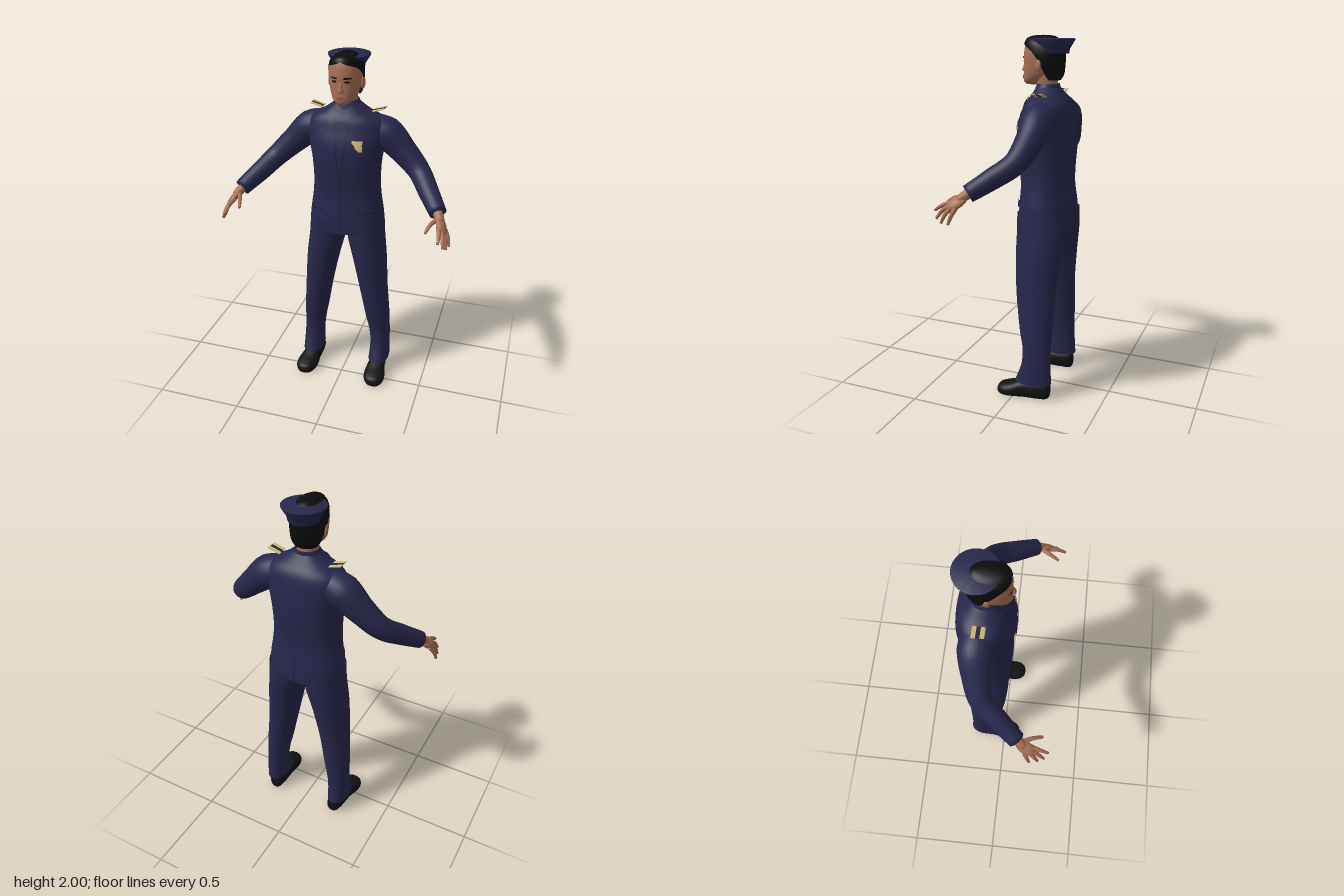
import * as THREE from 'three';
import { mergeVertices, toCreasedNormals } from 'three/addons/utils/BufferGeometryUtils.js';

const material = (name, color, side = THREE.FrontSide) =>
  Object.assign(new THREE.MeshStandardMaterial({ color, side }), { name });
const navy = material('navy cloth', 0x27274c, THREE.DoubleSide);
const seamNavy = material('dark seam', 0x17172e, THREE.DoubleSide);
const skin = material('skin', 0xa87054);
const lip = material('lips', 0x8a5444, THREE.DoubleSide);
const black = material('black hair', 0x0d0c0c, THREE.DoubleSide);
const leather = material('shoe leather', 0x121212);
const gold = material('gold', 0xd2bd78, THREE.DoubleSide);

// Catmull-Rom refinement of rows of numbers
function smooth(rows, sub = 5) {
  const out = [], at = i => rows[Math.min(Math.max(i, 0), rows.length - 1)];
  for (let i = 0; i < rows.length - 1; i++) {
    for (let k = 0; k < sub; k++) {
      const t = k / sub;
      out.push(rows[i].map((b, c) => {
        const a = at(i - 1)[c], d = at(i + 1)[c], e = at(i + 2)[c];
        return b + 0.5 * t * (d - a + t * (2 * a - 5 * b + 4 * d - e + t * (3 * (b - d) + e - a)));
      }));
    }
  }
  out.push(rows[rows.length - 1]);
  return out;
}

// Surface over a grid of points; point(i, j) returns [x, y, z]
function grid(rows, cols, point, flip = false) {
  const pos = [], idx = [];
  for (let i = 0; i <= rows; i++) for (let j = 0; j <= cols; j++) pos.push(...point(i, j));
  for (let i = 0; i < rows; i++) {
    for (let j = 0; j < cols; j++) {
      const a = i * (cols + 1) + j, b = a + 1, c = a + cols + 1, d = c + 1;
      idx.push(...(flip ? [a, c, b, b, c, d] : [a, b, c, b, d, c]));
    }
  }
  let g = new THREE.BufferGeometry();
  g.setAttribute('position', new THREE.Float32BufferAttribute(pos, 3));
  g.setIndex(idx);
  g = mergeVertices(g, 1e-5);
  g.computeVertexNormals();
  return g;
}

// Stacked super-ellipses; rows are [y, cx, cz, rx, rz, arc], arc is measured from the back
const pow = (v, p) => Math.sign(v) * Math.abs(v) ** (2 / p);
function loft(rows, p = 2, n = 36) {
  const s = smooth(rows);
  return grid(s.length - 1, n, (i, j) => {
    const [y, cx, cz, rx, rz, arc = 1] = s[i];
    const a = (j % n || arc < 0.999 ? j / n * 2 - 1 : -1) * Math.PI * Math.min(arc, 1);
    return [cx + rx * pow(Math.sin(a), p), y, cz - rz * pow(Math.cos(a), p)];
  }, true);
}

// Round limb along [x, y, z, radius] points, closed at the far end
function limb(pts, n = 20, steps = 24) {
  const curve = new THREE.CatmullRomCurve3(pts.map(p => new THREE.Vector3(...p)));
  const { normals, binormals } = curve.computeFrenetFrames(steps);
  return grid(steps + 1, n, (i, j) => {
    const k = Math.min(i, steps), f = curve.getUtoTmapping(k / steps) * (pts.length - 1);
    const m = Math.min(Math.floor(f), pts.length - 2), a = j / n * Math.PI * 2;
    const r = i > steps ? 0 : THREE.MathUtils.lerp(pts[m][3], pts[m + 1][3], f - m);
    return curve.getPointAt(k / steps).addScaledVector(normals[k], r * Math.cos(a))
      .addScaledVector(binormals[k], r * Math.sin(a)).toArray();
  });
}

// Thin plate lying on a loft; outline rows are [y, x0, x1] upwards, side 1 front, -1 back
function plate(body, p, outline, lift, side = 1) {
  const s = smooth(body), rows = [];
  outline.slice(1).forEach((b, i) => {
    for (let k = 0; k < 6; k++) rows.push(b.map((v, c) => THREE.MathUtils.lerp(outline[i][c], v, k / 6)));
  });
  rows.push(outline[outline.length - 1]);
  return grid(rows.length - 1, 6, (i, j) => {
    const [y, x0, x1] = rows[i], x = THREE.MathUtils.lerp(x0, x1, side > 0 ? j / 6 : 1 - j / 6);
    const m = Math.max(1, s.findIndex(r => r[0] >= y)), f = (y - s[m - 1][0]) / (s[m][0] - s[m - 1][0]);
    const [, , cz, rx, rz] = s[m].map((v, c) => THREE.MathUtils.lerp(s[m - 1][c], v, f));
    const d = Math.max(0, 1 - Math.abs(x / rx) ** p) ** (1 / p);
    return [x, y, cz + side * (rz * d + lift)];
  });
}

function mirrored(geometry) {
  const g = geometry.clone().scale(-1, 1, 1), idx = g.index.array;
  for (let i = 0; i < idx.length; i += 3) [idx[i], idx[i + 1]] = [idx[i + 1], idx[i]];
  g.computeVertexNormals();
  return g;
}

export function createModel() {
  const root = new THREE.Group();
  root.name = 'uniformedMan';
  const add = (name, geo, mat) => {
    const mesh = new THREE.Mesh(geo, mat);
    mesh.name = name;
    root.add(mesh);
    return mesh;
  };
  const pair = (name, geo, mat) => {
    add(name + 'Left', geo, mat);
    add(name + 'Right', mirrored(geo), mat);
  };

  // Jacket
  const jacket = [
    [1.01, 0, -0.12, 0.217, 0.15], [1.1, 0, -0.118, 0.21, 0.147], [1.2, 0, -0.115, 0.195, 0.137],
    [1.3, 0, -0.112, 0.188, 0.142], [1.42, 0, -0.11, 0.194, 0.153], [1.52, 0, -0.112, 0.212, 0.148],
    [1.6, 0, -0.12, 0.22, 0.131], [1.65, 0, -0.12, 0.195, 0.115], [1.69, 0, -0.116, 0.125, 0.088],
    [1.73, 0, -0.11, 0.072, 0.063]];
  const jp = 2.3;
  add('jacket', loft(jacket, jp, 48), navy);
  add('collar', loft([[1.69, 0, -0.108, 0.085, 0.075], [1.72, 0, -0.108, 0.075, 0.068], [1.75, 0, -0.112, 0.062, 0.06]]), navy);
  pair('lapel', plate(jacket, jp, [[1.31, 0, 0.01], [1.43, 0.015, 0.055], [1.56, 0.032, 0.088], [1.6, 0.038, 0.095],
    [1.61, 0.04, 0.075], [1.7, 0.05, 0.078]], 0.008), navy);
  pair('lapelEdge', plate(jacket, jp, [[1.31, -0.002, 0.002], [1.56, 0.027, 0.031], [1.69, 0.044, 0.048]], 0.005), seamNavy);
  add('tie', plate(jacket, jp, [[1.36, -0.003, 0.003], [1.5, -0.02, 0.02], [1.65, -0.012, 0.012], [1.66, -0.016, 0.016],
    [1.7, -0.022, 0.022]], 0.007), navy);
  add('frontSeam', plate(jacket, jp, [[1.015, -0.002, 0.002], [1.31, -0.002, 0.002]], 0.003), seamNavy);
  add('backVent', plate(jacket, jp, [[1.015, -0.003, 0.003], [1.16, -0.002, 0.002]], 0.003, -1), seamNavy);
  pair('pocketFlap', plate(jacket, jp, [[1.095, 0.1, 0.18], [1.13, 0.095, 0.18]], 0.008), navy);
  pair('pocketSeam', plate(jacket, jp, [[1.13, 0.095, 0.18], [1.135, 0.095, 0.18]], 0.009), seamNavy);
  add('badge', plate(jacket, jp, [[1.505, 0.1, 0.12], [1.525, 0.082, 0.12], [1.54, 0.076, 0.116], [1.548, 0.064, 0.12],
    [1.562, 0.064, 0.12]], 0.009), gold);

  // Sleeves
  pair('sleeve', limb([[0.12, 1.59, -0.13, 0.085], [0.215, 1.562, -0.135, 0.092], [0.31, 1.48, -0.125, 0.073],
    [0.41, 1.385, -0.09, 0.06], [0.48, 1.315, 0, 0.055], [0.553, 1.245, 0.1, 0.046]], 24, 32), navy);

  // Hands
  const along = new THREE.Vector3(0.04, -0.055, 0.08).normalize();
  const across = new THREE.Vector3(-0.035, 0.035, 0.045);
  across.addScaledVector(along, -across.dot(along)).normalize();
  const palm = new THREE.SphereGeometry(1, 20, 14).scale(0.062, 0.036, 0.019).applyMatrix4(
    new THREE.Matrix4().makeBasis(along, across, along.clone().cross(across)).setPosition(0.58, 1.205, 0.148));
  pair('palm', palm, skin);
  pair('wrist', limb([[0.54, 1.258, 0.083, 0.026], [0.56, 1.235, 0.115, 0.026], [0.575, 1.215, 0.14, 0.022]], 14, 8), skin);
  const fingers = {
    index: [[0.57, 1.205, 0.17], [0.582, 1.185, 0.225], [0.586, 1.155, 0.27]],
    middle: [[0.582, 1.195, 0.17], [0.6, 1.165, 0.215], [0.61, 1.12, 0.25]],
    ring: [[0.59, 1.185, 0.16], [0.612, 1.15, 0.195], [0.622, 1.102, 0.218]],
    little: [[0.6, 1.18, 0.145], [0.62, 1.145, 0.16], [0.632, 1.1, 0.175]],
    thumb: [[0.555, 1.225, 0.135], [0.53, 1.215, 0.185], [0.513, 1.188, 0.235]]
  };
  for (const [name, path] of Object.entries(fingers)) {
    pair(name + 'Finger', limb(path.map((p, i) => [...p, [0.013, 0.011, 0.007][i]]), 10, 10), skin);
  }

  // Trousers
  add('trouserHips', loft([[0.99, 0, -0.12, 0.19, 0.135], [1.1, 0, -0.12, 0.195, 0.135]]), navy);
  pair('trouserLeg', loft([[0.095, 0.215, -0.112, 0.061, 0.107], [0.2, 0.215, -0.128, 0.058, 0.084],
    [0.3, 0.208, -0.13, 0.062, 0.081], [0.4, 0.196, -0.122, 0.07, 0.093], [0.6, 0.17, -0.11, 0.08, 0.11],
    [0.8, 0.142, -0.112, 0.095, 0.127], [0.95, 0.115, -0.12, 0.105, 0.138], [1.06, 0.108, -0.12, 0.105, 0.138]], 2.2), navy);

  // Shoes, lofted from heel to toe with a flat sole
  const shoe = loft([[-0.206, 0.205, -0.045, 0, 0], [-0.2, 0.206, -0.048, 0.032, 0.045], [-0.15, 0.208, -0.05, 0.046, 0.058],
    [-0.06, 0.212, -0.046, 0.052, 0.056], [0.01, 0.218, -0.034, 0.064, 0.044], [0.06, 0.221, -0.028, 0.059, 0.036],
    [0.092, 0.222, -0.024, 0.036, 0.026], [0.102, 0.222, -0.022, 0, 0]], 2.3).rotateX(Math.PI / 2);
  const sp = shoe.attributes.position;
  for (let i = 0; i < sp.count; i++) sp.setY(i, Math.max(0, sp.getY(i)));
  shoe.computeVertexNormals();
  pair('shoe', shoe, leather);

  // Head and face
  const head = [
    [1.742, 0, -0.03, 0, 0], [1.746, 0, -0.028, 0.028, 0.042], [1.765, 0, -0.035, 0.052, 0.062],
    [1.8, 0, -0.06, 0.072, 0.086], [1.85, 0, -0.075, 0.084, 0.098], [1.9, 0, -0.08, 0.088, 0.103],
    [1.95, 0, -0.08, 0.08, 0.095], [1.975, 0, -0.08, 0.06, 0.075], [1.985, 0, -0.08, 0, 0]];
  add('head', loft(head, 2.15), skin);
  add('neck', loft([[1.68, 0, -0.11, 0.06, 0.06], [1.74, 0, -0.105, 0.056, 0.056], [1.8, 0, -0.1, 0.06, 0.06]]), skin);
  add('nose', loft([[1.806, 0, 0.012, 0, 0], [1.811, 0, 0.016, 0.017, 0.017], [1.82, 0, 0.019, 0.017, 0.021],
    [1.845, 0, 0.016, 0.01, 0.016], [1.875, 0, 0.012, 0.008, 0.008], [1.885, 0, 0.01, 0, 0]], 2, 16), skin);
  const ear = new THREE.SphereGeometry(1, 14, 10).scale(0.009, 0.032, 0.018).rotateY(-0.3).translate(0.09, 1.845, -0.085);
  pair('ear', ear, skin);
  pair('eyebrow', plate(head, 2.15, [[1.882, 0.016, 0.05], [1.89, 0.02, 0.058]], 0.004), black);
  pair('eye', plate(head, 2.15, [[1.862, 0.026, 0.042], [1.867, 0.02, 0.048], [1.873, 0.025, 0.044]], 0.003), black);
  add('mouth', plate(head, 2.15, [[1.775, -0.012, 0.012], [1.782, -0.025, 0.025], [1.79, -0.01, 0.01]], 0.005), lip);

  // Hair
  add('hair', loft([[1.768, 0, -0.115, 0.064, 0.062, 0.4], [1.8, 0, -0.105, 0.082, 0.09, 0.45],
    [1.86, 0, -0.095, 0.091, 0.107, 0.52], [1.9, 0, -0.09, 0.094, 0.112, 0.58], [1.935, 0, -0.085, 0.09, 0.11, 0.7],
    [1.955, 0, -0.082, 0.084, 0.104, 0.9], [1.968, 0, -0.081, 0.076, 0.1, 1], [1.985, 0, -0.078, 0.055, 0.085, 1],
    [1.996, 0, -0.08, 0.03, 0.055, 1], [2, 0, -0.08, 0, 0, 1]]), black);

  // Cap, worn at the back of the head
  const cap = new THREE.LatheGeometry([[0.06, 1.905], [0.081, 1.906], [0.086, 1.932], [0.09, 1.938], [0.112, 1.974],
    [0.113, 1.98], [0.106, 1.983], [0, 1.981]].map(p => new THREE.Vector2(...p)), 40);
  add('cap', toCreasedNormals(cap, 0.6), navy).position.z = -0.139;

  // Shoulder boards: two gold bars with a cloth stripe between
  for (const side of [1, -1]) {
    const board = new THREE.Group();
    board.name = side > 0 ? 'shoulderBoardLeft' : 'shoulderBoardRight';
    for (const [z, w, d, mat] of [[-0.021, 0.07, 0.022, gold], [0, 0.066, 0.02, navy], [0.021, 0.066, 0.022, gold]]) {
      const bar = new THREE.Mesh(new THREE.BoxGeometry(w, 0.004, d), mat);
      bar.name = mat === gold ? 'goldBar' : 'clothStripe';
      bar.position.z = z;
      board.add(bar);
    }
    board.position.set(side * 0.172, 1.7, -0.122);
    board.rotation.z = side * 0.28;
    root.add(board);
  }
  return root;
}
